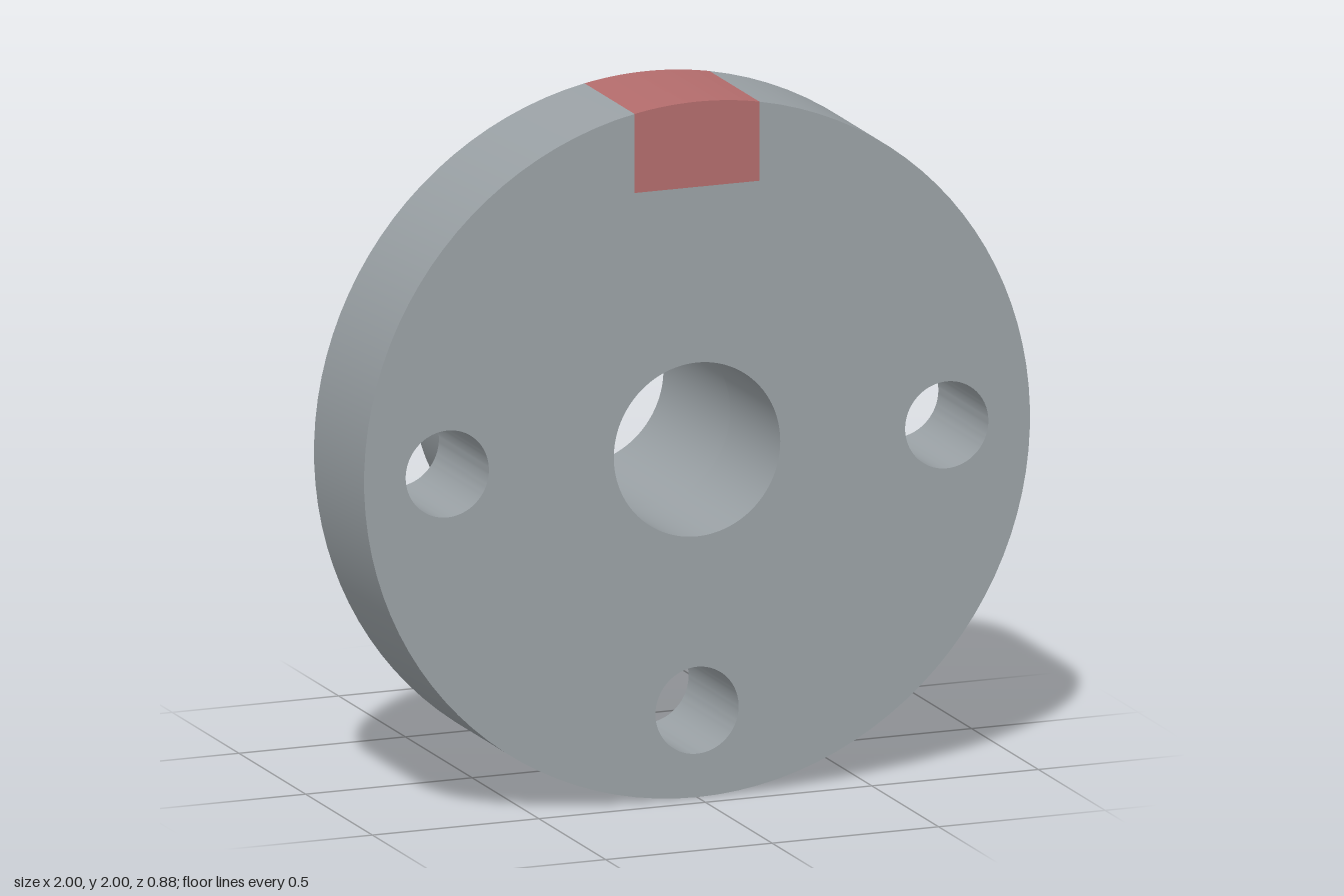
import * as THREE from 'three';
import { toCreasedNormals } from 'three/addons/utils/BufferGeometryUtils.js';

const BACK = -0.4375, STEP = 0.0625, FRONT = 0.4375; // z of hub end, flange back, flange front
const MARK_HALF = 0.1875, MARK_BASE = 0.755;         // size of the coloured index mark

const steel = new THREE.MeshStandardMaterial({ name: 'steel grey', color: 0x9aa1a5 });
const red = new THREE.MeshStandardMaterial({ name: 'marking red', color: 0xb36c6c });

// Circular hole outline
function hole(x, y, r) {
  return new THREE.Path().absarc(x, y, r, 0, Math.PI * 2, true);
}

// Extrude a shape between two z planes, smooth on the round walls
function part(name, shape, z0, z1, material) {
  const raw = new THREE.ExtrudeGeometry(shape, { depth: z1 - z0, bevelEnabled: false, curveSegments: 48 });
  const geometry = toCreasedNormals(raw, Math.PI / 6);
  geometry.translate(0, 1, z0);
  const mesh = new THREE.Mesh(geometry, material);
  mesh.name = name;
  return mesh;
}

export function createModel() {
  const group = new THREE.Group();
  group.name = 'flangedHub';

  const tilt = Math.asin(MARK_HALF);
  const right = Math.PI / 2 - tilt, left = Math.PI / 2 + tilt;

  // Flange disc, notched at the top where the mark sits
  const disc = new THREE.Shape();
  disc.absarc(0, 0, 1, left, right + Math.PI * 2, false);
  disc.lineTo(MARK_HALF, MARK_BASE);
  disc.lineTo(-MARK_HALF, MARK_BASE);
  disc.closePath();
  disc.holes.push(hole(0, 0, 0.25));
  for (const [x, y] of [[0.75, 0], [-0.75, 0], [0, -0.75]]) disc.holes.push(hole(x, y, 0.125));
  group.add(part('flange', disc, STEP, FRONT, steel));

  // Index mark filling the notch through the full flange thickness
  const mark = new THREE.Shape();
  mark.moveTo(-MARK_HALF, MARK_BASE);
  mark.lineTo(MARK_HALF, MARK_BASE);
  mark.absarc(0, 0, 1, right, left, false);
  mark.closePath();
  group.add(part('indexMark', mark, STEP, FRONT, red));

  // Hub sleeve behind the flange, with the bore running through
  const sleeve = new THREE.Shape().absarc(0, 0, 0.5, 0, Math.PI * 2, false);
  sleeve.holes.push(hole(0, 0, 0.25));
  group.add(part('hub', sleeve, BACK, STEP, steel));

  return group;
}
